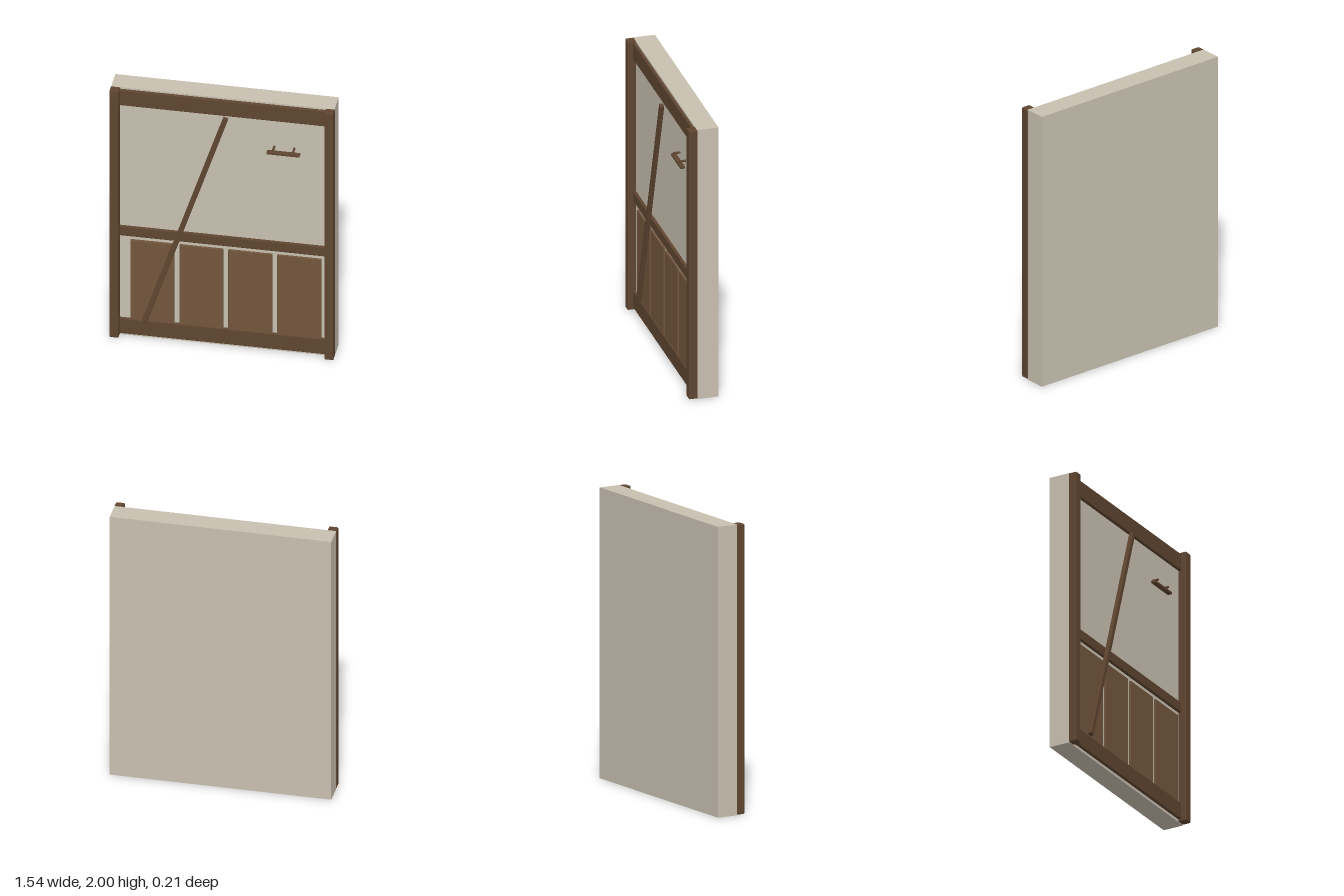
import * as THREE from 'three';
import { RoundedBoxGeometry } from 'three/addons/geometries/RoundedBoxGeometry.js';

const plaster = new THREE.MeshStandardMaterial({ color: 0xc8c0b0, flatShading: true });
const timber = new THREE.MeshStandardMaterial({ color: 0x5f4530, flatShading: true });
const panelWood = new THREE.MeshStandardMaterial({ color: 0x72563c, flatShading: true });

// Box given by its limits on each axis, with an optional chamfer
function block(name, [x0, x1], [y0, y1], [z0, z1], material, bevel = 0) {
  const size = [x1 - x0, y1 - y0, z1 - z0];
  const geometry = bevel
    ? new RoundedBoxGeometry(...size, 1, bevel)
    : new THREE.BoxGeometry(...size);
  const mesh = new THREE.Mesh(geometry, material);
  mesh.name = name;
  mesh.position.set((x0 + x1) / 2, (y0 + y1) / 2, (z0 + z1) / 2);
  return mesh;
}

export function createModel() {
  const model = new THREE.Group();
  model.name = 'timberFramedWall';

  // Plaster slab
  model.add(block('wallSlab', [-0.765, 0.765], [0, 2], [-0.107, 0.044], plaster));

  // Upright posts at both edges
  model.add(block('rightPost', [-0.768, -0.704], [0.004, 2], [0.04, 0.102], timber, 0.007));
  model.add(block('leftPost', [0.704, 0.768], [0.004, 2], [0.04, 0.102], timber, 0.007));

  // Horizontal rails
  const rails = { bottomRail: [0.02, 0.141], middleRail: [0.812, 0.886], topRail: [1.866, 1.988] };
  for (const [name, y] of Object.entries(rails)) {
    model.add(block(name, [-0.71, 0.71], y, [0.036, 0.064], timber, 0.005));
  }

  // Four lower panels
  for (let i = 0; i < 4; i++) {
    const x = -0.631 + i * 0.335;
    model.add(block('panel' + (i + 1), [x, x + 0.3], [0.13, 0.78], [0.038, 0.058], panelWood, 0.003));
  }

  // Diagonal brace standing proud of the rails
  const foot = new THREE.Vector2(-0.531, 0.146);
  const head = new THREE.Vector2(0.026, 1.859);
  const run = head.clone().sub(foot);
  const half = run.length() / 2;
  const brace = block('diagonalBrace', [-0.018, 0.018], [-half, half], [0.062, 0.091], timber, 0.005);
  brace.position.set((foot.x + head.x) / 2, (foot.y + head.y) / 2, 0.0765);
  brace.rotation.z = -Math.atan2(run.x, run.y);
  model.add(brace);

  // Small shelf bar with two pegs
  const shelf = new THREE.Group();
  shelf.name = 'pegShelf';
  shelf.add(block('shelfBar', [0.307, 0.534], [1.612, 1.63], [0.06, 0.094], timber, 0.004));
  for (const x of [0.353, 0.49]) {
    const peg = new THREE.Mesh(new THREE.CylinderGeometry(0.008, 0.008, 0.05, 8), timber);
    peg.name = 'peg';
    peg.rotation.x = Math.PI / 2;
    peg.position.set(x, 1.65, 0.066);
    shelf.add(peg);
  }
  model.add(shelf);

  return model;
}
